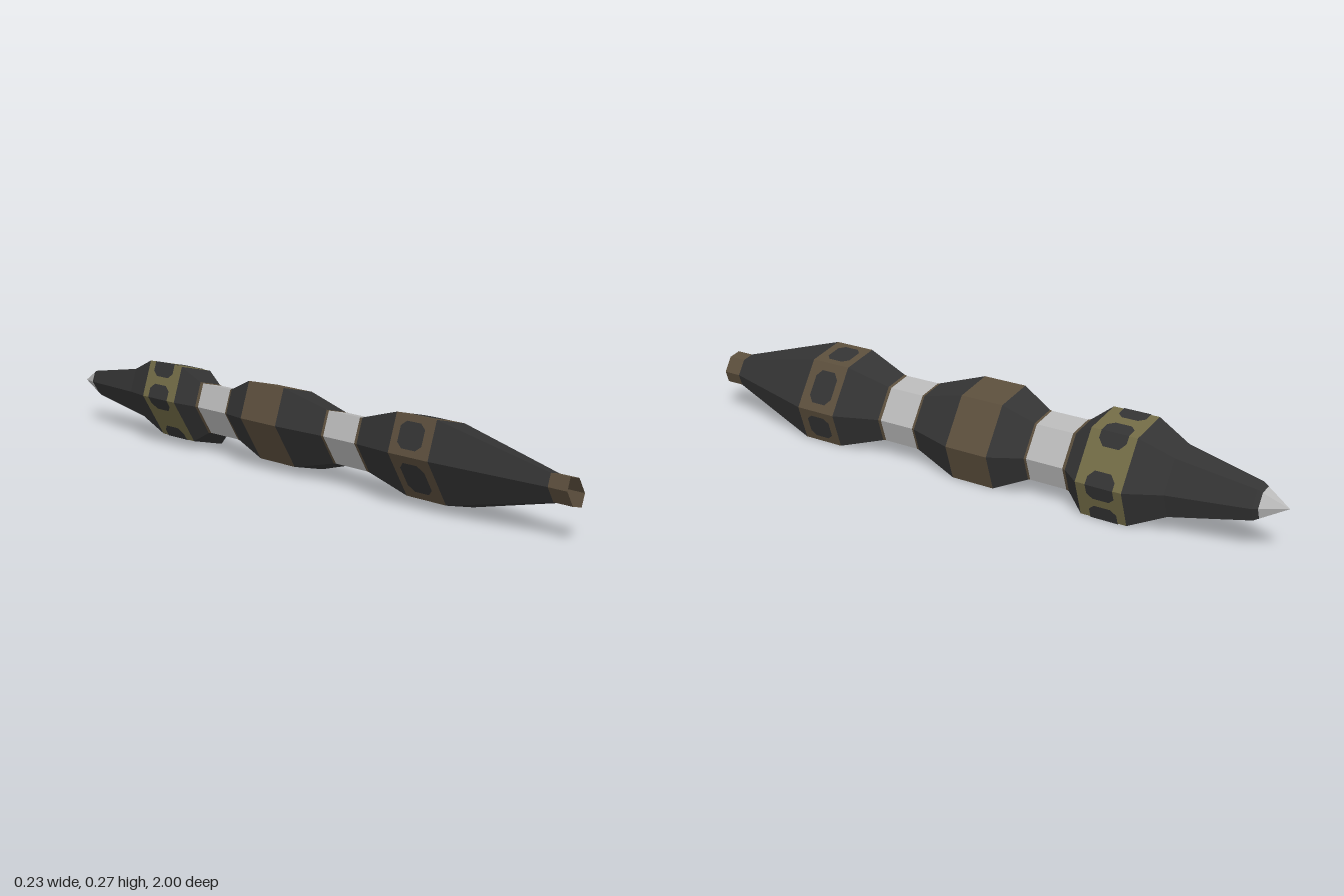
import * as THREE from 'three';

// Skewed hexagonal cross-section, clockwise as seen from the front
const HEX = [[-0.08, 0.135], [0.035, 0.107], [0.115, -0.028], [0.08, -0.135], [-0.035, -0.107], [-0.115, 0.028]];
const CENTRE_Y = 0.136;

const material = (name, color) =>
  new THREE.MeshStandardMaterial({ name, color, side: THREE.DoubleSide, flatShading: true });

// Point at fraction t along hexagon side i, at depth z and scale s
function hexPoint(i, t, z, s) {
  const a = HEX[i % 6], b = HEX[(i + 1) % 6];
  return [(a[0] + (b[0] - a[0]) * t) * s, CENTRE_Y + (a[1] + (b[1] - a[1]) * t) * s, z];
}

function meshFrom(positions, mat, name) {
  const geo = new THREE.BufferGeometry();
  geo.setAttribute('position', new THREE.Float32BufferAttribute(positions, 3));
  geo.computeVertexNormals();
  const mesh = new THREE.Mesh(geo, mat);
  mesh.name = name;
  return mesh;
}

// Open six-sided tube section from z0 (front) to z1 (back)
function section(name, mat, z0, s0, z1, s1) {
  const pos = [];
  for (let i = 0; i < 6; i++) {
    const a = hexPoint(i, 0, z0, s0), b = hexPoint(i, 1, z0, s0);
    const c = hexPoint(i, 1, z1, s1), d = hexPoint(i, 0, z1, s1);
    pos.push(...a, ...b, ...c);
    if (s1 > 0) pos.push(...a, ...c, ...d);
  }
  return meshFrom(pos, mat, name);
}

// Flat patch on side i between t0 and t1; cutA / cutB chamfer its two ends
function patch(name, mat, i, t0, t1, zF, zB, cutA, cutB) {
  const ct = 0.13, cz = 0.018;
  const outline = [];
  if (cutA) outline.push([t0, zB + cz], [t0, zF - cz], [t0 + ct, zF]);
  else outline.push([t0, zB], [t0, zF]);
  if (cutB) outline.push([t1 - ct, zF], [t1, zF - cz], [t1, zB + cz], [t1 - ct, zB]);
  else outline.push([t1, zF], [t1, zB]);
  if (cutA) outline.push([t0 + ct, zB]);
  const p = outline.map(([t, z]) => hexPoint(i, t, z, 1.012));
  const pos = [];
  for (let k = 1; k < p.length - 1; k++) pos.push(...p[0], ...p[k], ...p[k + 1]);
  return meshFrom(pos, mat, name);
}

export function createModel() {
  const dark = material('charcoal', 0x333333);
  const brown = material('brown', 0x5b4e3c);
  const olive = material('olive', 0x716a45);
  const grey = material('lightGrey', 0xb8b8b8);

  const model = new THREE.Group();
  model.name = 'segmentedSpike';

  // Sections from the open front end to the pointed back: name, material, z0, scale0, z1, scale1
  const sections = [
    ['frontCollar', brown, 1, 0.33, 0.94, 0.33],
    ['frontCone', dark, 0.94, 0.33, 0.61, 1],
    ['frontBand', brown, 0.61, 1, 0.47, 1],
    ['frontTaper', dark, 0.47, 1, 0.32, 0.67],
    ['frontGripTrimA', brown, 0.32, 0.67, 0.31, 0.66],
    ['frontGrip', grey, 0.31, 0.66, 0.19, 0.66],
    ['frontGripTrimB', brown, 0.19, 0.66, 0.182, 0.67],
    ['middleFrontTaper', dark, 0.182, 0.67, 0.035, 1],
    ['middleBand', brown, 0.035, 1, -0.11, 1],
    ['middleBackTaper', dark, -0.11, 1, -0.215, 0.67],
    ['backGripTrimA', brown, -0.215, 0.67, -0.222, 0.66],
    ['backGrip', grey, -0.222, 0.66, -0.345, 0.66],
    ['backGripTrimB', brown, -0.345, 0.66, -0.355, 0.68],
    ['backFlare', dark, -0.355, 0.68, -0.412, 1],
    ['backBand', olive, -0.412, 1, -0.56, 1],
    ['backShoulder', dark, -0.56, 1, -0.67, 0.66],
    ['backCone', dark, -0.67, 0.66, -0.91, 0.34],
    ['tipBase', dark, -0.91, 0.34, -0.925, 0.283],
    ['tip', grey, -0.925, 0.283, -1, 0],
  ];
  for (const s of sections) model.add(section(...s));

  // Dark panels: centred on each side of the front band, wrapped round each edge of the back band
  for (let i = 0; i < 6; i++) {
    const a = HEX[i], b = HEX[(i + 1) % 6];
    const half = 0.044 / Math.hypot(b[0] - a[0], b[1] - a[1]);
    model.add(patch('frontBandPanel', dark, i, 0.17, 0.83, 0.58, 0.495, true, true));
    model.add(patch('backBandPanelStart', dark, i, 0, half, -0.445, -0.533, false, true));
    model.add(patch('backBandPanelEnd', dark, i, 1 - half, 1, -0.445, -0.533, true, false));
  }
  return model;
}
